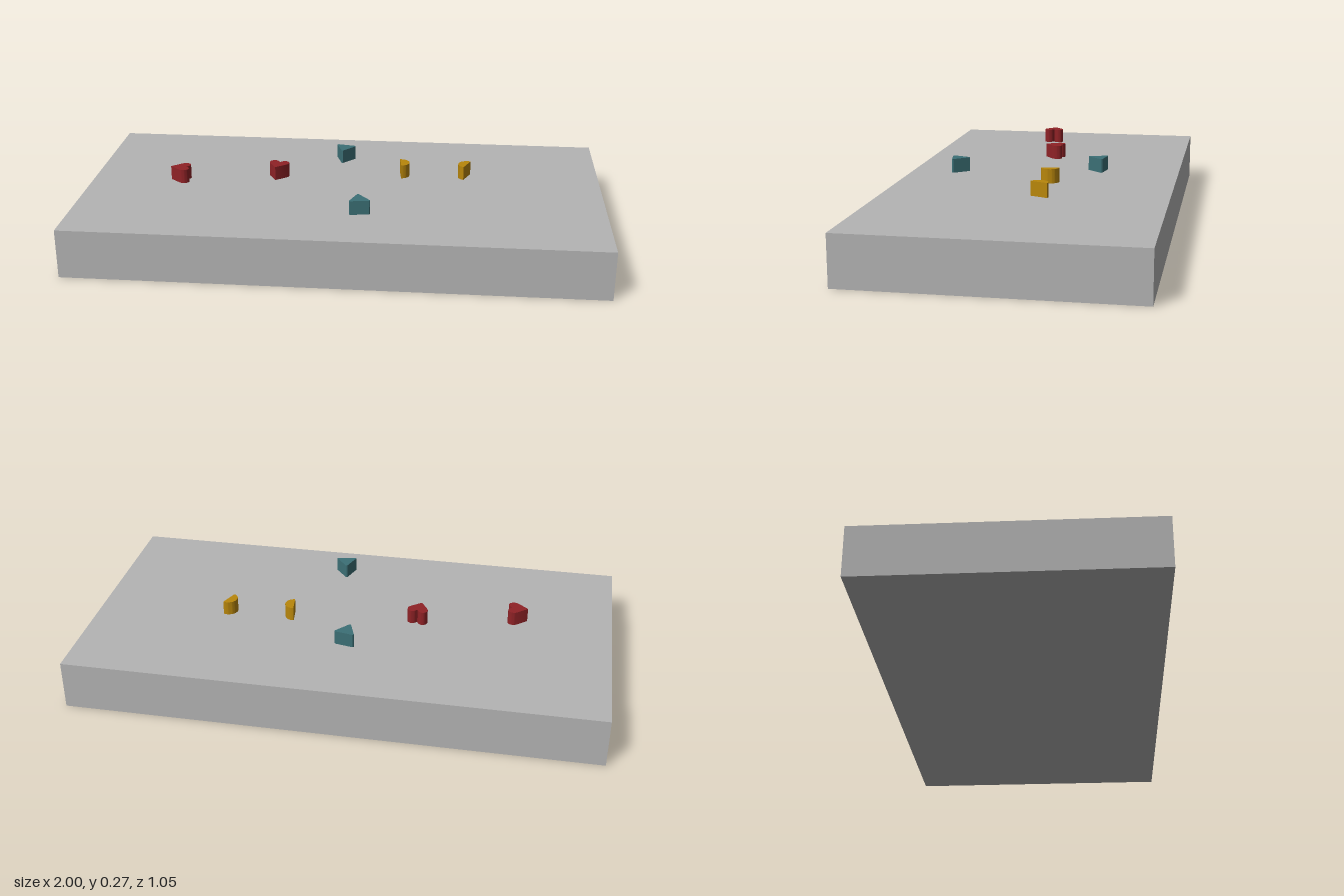
import * as THREE from 'three';
import { toCreasedNormals } from 'three/addons/utils/BufferGeometryUtils.js';

const material = (name, color) => {
  const m = new THREE.MeshStandardMaterial({ color });
  m.name = name;
  return m;
};

// Triangle with slightly clipped corners, pointing up
function triangleShape(r = 0.048, clip = 0.07) {
  const corners = [90, 210, 330].map((d) => {
    const a = THREE.MathUtils.degToRad(d);
    return new THREE.Vector2(Math.cos(a) * r, Math.sin(a) * r);
  });
  const points = [];
  corners.forEach((c, i) => {
    points.push(c.clone().lerp(corners[(i + 2) % 3], clip));
    points.push(c.clone().lerp(corners[(i + 1) % 3], clip));
  });
  return new THREE.Shape(points);
}

// Heart with its point down
function heartShape() {
  const s = new THREE.Shape();
  s.moveTo(0, -0.038);
  s.lineTo(0.034, 0.001);
  s.bezierCurveTo(0.049, 0.02, 0.03, 0.046, 0.011, 0.033);
  s.quadraticCurveTo(0.004, 0.029, 0, 0.019);
  s.quadraticCurveTo(-0.004, 0.029, -0.011, 0.033);
  s.bezierCurveTo(-0.03, 0.046, -0.049, 0.02, -0.034, 0.001);
  s.lineTo(0, -0.038);
  return s;
}

// Half disc, flat on its left side
function halfDiscShape(r = 0.035) {
  const s = new THREE.Shape();
  s.moveTo(0, -r);
  s.absarc(0, 0, r, -Math.PI / 2, Math.PI / 2, false);
  s.closePath();
  return s;
}

export function createModel() {
  const model = new THREE.Group();
  const grey = material('slab grey', 0xb4b4b4);
  const red = material('heart red', 0x8f2226);
  const teal = material('triangle teal', 0x3c7076);
  const gold = material('half disc gold', 0xb8860b);

  // Base slab
  const slab = new THREE.Mesh(new THREE.BoxGeometry(2, 0.187, 1.054), grey);
  slab.name = 'slab';
  slab.position.y = 0.0935;
  model.add(slab);

  // Small prisms hovering just above the slab
  const addPair = (name, shape, mat, places) => {
    const geometry = toCreasedNormals(
      new THREE.ExtrudeGeometry(shape, { depth: 0.054, bevelEnabled: false, curveSegments: 10 })
        .rotateX(-Math.PI / 2), 0.6);
    places.forEach(([x, z, turn], i) => {
      const mesh = new THREE.Mesh(geometry, mat);
      mesh.name = name + (i + 1);
      mesh.position.set(x, 0.212, z);
      mesh.rotation.y = turn;
      model.add(mesh);
    });
  };
  addPair('heart', heartShape(), red, [[-0.637, 0.055, -1.57], [-0.261, -0.009, -0.18]]);
  addPair('triangle', triangleShape(), teal, [[-0.016, -0.225, 0.855], [0.084, 0.315, 0.17]]);
  addPair('halfDisc', halfDiscShape(), gold, [[0.218, -0.07, 0.12], [0.479, -0.073, Math.PI - 0.4]]);

  return model;
}
